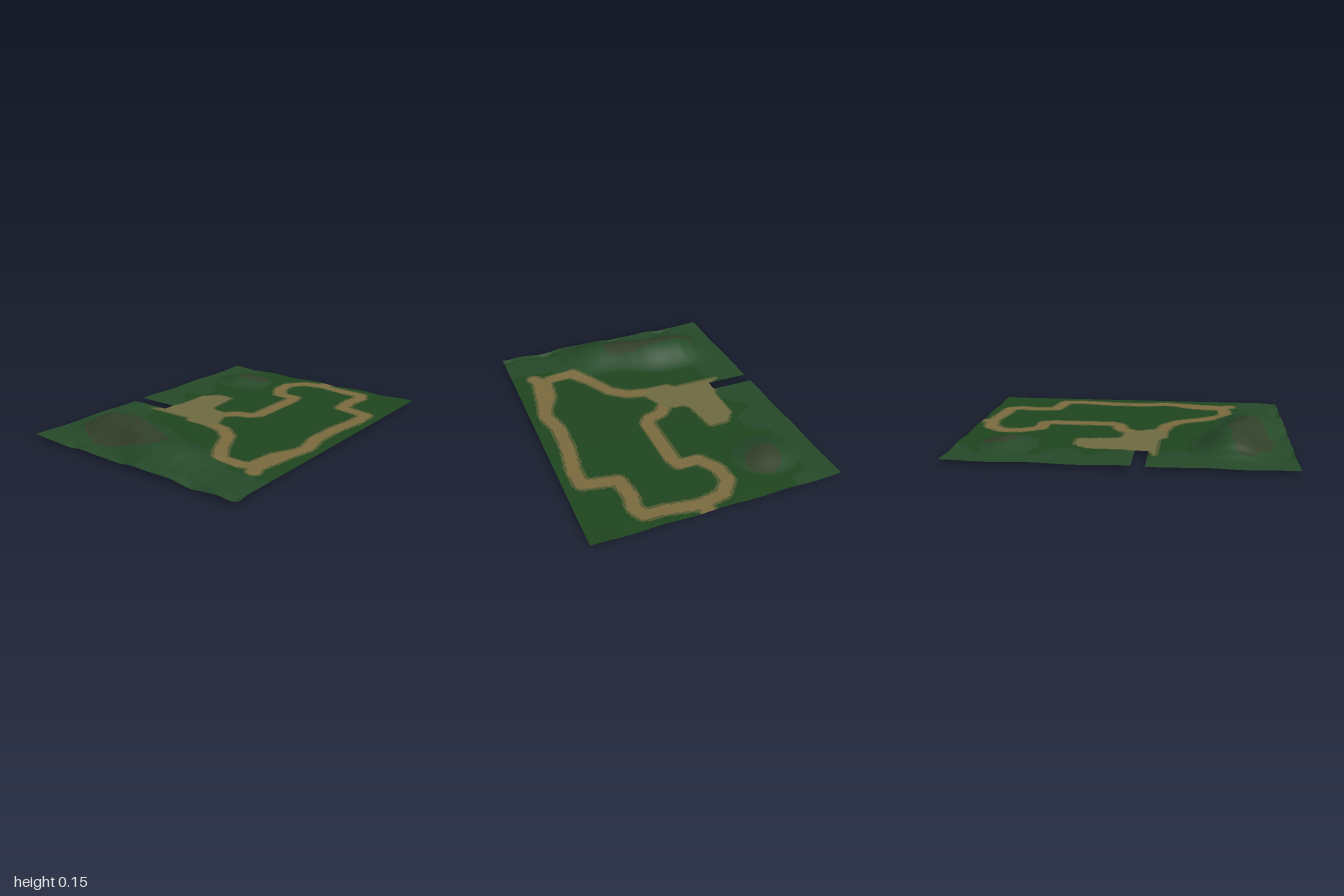
import * as THREE from 'three';
import { mergeVertices } from 'three/addons/utils/BufferGeometryUtils.js';

const COLS = 200, ROWS = 152, DEPTH = 1.52, BASE = 0.028;

// Trail centre lines, as [x, z]
const LOOP = [
  [-0.2, -0.1], [-0.24, 0.08], [-0.32, 0.18], [-0.5, 0.27], [-0.62, 0.36], [-0.62, 0.5],
  [-0.58, 0.6], [-0.35, 0.63], [-0.2, 0.66], [-0.03, 0.62], [0.2, 0.63], [0.4, 0.66],
  [0.53, 0.65], [0.57, 0.45], [0.72, 0.43], [0.82, 0.45], [0.89, 0.42], [0.9, 0.28],
  [0.93, 0.1], [0.9, -0.05], [0.8, -0.13], [0.68, -0.12], [0.57, -0.05], [0.57, 0.07],
  [0.5, 0.09], [0.12, 0.09], [0.07, 0.05], [0.05, -0.03], [-0.03, -0.1],
];
const TRAILS = [
  LOOP,
  [[-0.66, 0.62], [-0.56, 0.56], [-0.4, 0.58], [-0.3, 0.63]],
  [[0.93, 0.08], [1, 0.09]],
];
// Outline of the open dirt yard in front of the notch
const YARD = [
  [-0.2, -0.56], [-0.16, -0.48], [-0.08, -0.48], [-0.03, -0.46], [0.2, -0.46], [0.29, -0.39],
  [0.29, -0.27], [0.05, -0.24], [0.02, -0.2], [0.01, -0.09], [-0.1, -0.05], [-0.17, -0.02],
  [-0.25, -0.06], [-0.25, -0.2], [-0.2, -0.24],
];

// Crest height of the long ridge along z
const CREST = [
  [-0.74, 0], [-0.66, 0.012], [-0.6, 0.042], [-0.52, 0.088], [-0.44, 0.112], [-0.3, 0.118],
  [-0.2, 0.114], [-0.1, 0.098], [0, 0.083], [0.1, 0.084], [0.2, 0.07], [0.3, 0.038],
  [0.4, 0.012], [0.52, 0],
];
// Dips along the left border, as [z, depth, width]
const DIPS = [[0.72, 0.022, 0.05], [0.45, 0.028, 0.09], [-0.05, 0.02, 0.07], [-0.45, 0.024, 0.07]];

const gauss = (d, w) => Math.exp(-(d * d) / (w * w));
const bump = (d) => (Math.abs(d) < 1 ? Math.cos(d * Math.PI / 2) ** 2 : 0);
const smooth = THREE.MathUtils.smoothstep;

function crestHeight(z) {
  for (let i = 1; i < CREST.length; i++) {
    const [z0, h0] = CREST[i - 1], [z1, h1] = CREST[i];
    if (z >= z0 && z <= z1) return h0 + (h1 - h0) * smooth(z, z0, z1) * 0.5 + (h1 - h0) * 0.5 * (z - z0) / (z1 - z0);
  }
  return 0;
}

function hills(x, z) {
  const centre = -0.65 - 0.13 * smooth(z, -0.3, 0.1);
  const ridge = crestHeight(z) * bump((x - centre) / 0.27);
  const knoll = 0.052 * bump(Math.min(1, Math.hypot((x - 0.68) / 0.22, (z + 0.44) / 0.25)));
  return ridge + knoll;
}

function height(x, z) {
  let y = BASE + hills(x, z);
  for (const [dz, depth, w] of DIPS) y -= depth * gauss(x + 0.97, 0.035) * gauss(z - dz, w);
  // gentle unevenness near the side and back borders
  const border = Math.max(smooth(Math.abs(x), 0.9, 1), smooth(-z, 0.6, 0.76) * 0.7);
  return y + border * 0.004 * Math.sin(17 * z + 2) * Math.cos(13 * x) + 0.006 * gauss(x + 0.25, 0.06) * gauss(z + 0.68, 0.06);
}

function distanceToLine(x, z, line) {
  let best = Infinity;
  for (let i = 1; i < line.length; i++) {
    const [ax, az] = line[i - 1], dx = line[i][0] - ax, dz = line[i][1] - az;
    const t = THREE.MathUtils.clamp(((x - ax) * dx + (z - az) * dz) / (dx * dx + dz * dz), 0, 1);
    best = Math.min(best, Math.hypot(x - ax - t * dx, z - az - t * dz));
  }
  return best;
}

function inside(x, z, poly) {
  let hit = false;
  poly.forEach(([ax, az], i) => {
    const [bx, bz] = poly[(i + 1) % poly.length];
    if ((az > z) !== (bz > z) && x < ax + (bx - ax) * (z - az) / (bz - az)) hit = !hit;
  });
  return hit;
}

// Ground covers and their colours
const COVERS = {
  meadow: 0x20461f,
  hillside: 0x264a29,
  rockySlope: 0x32402a,
  trailVerge: 0x505a31,
  dirtTrail: 0x7c6c40,
  dirtYard: 0x706c42,
};

function coverAt(x, z) {
  if (inside(x, z, YARD)) return 'dirtYard';
  const d = Math.min(...TRAILS.map((t) => distanceToLine(x, z, t)));
  if (d < 0.038) return 'dirtTrail';
  if (d < 0.055 || distanceToLine(x, z, [...YARD, YARD[0]]) < 0.015) return 'trailVerge';
  const wobble = 0.12 * Math.sin(19 * x + 3 * z) * Math.sin(14 * z);
  const rock = Math.min(
    Math.hypot((x + 0.75) / 0.13, (z + 0.25) / 0.36),
    Math.hypot((x - 0.73) / 0.11, (z + 0.4) / 0.11),
  );
  if (rock < 1 + wobble) return 'rockySlope';
  if (hills(x, z) > 0.004 || x < -0.72 || z < -0.5 + wobble) return 'hillside';
  return 'meadow';
}

export function createModel() {
  const group = new THREE.Group();
  group.name = 'terrain';

  // Shape the whole ground sheet first so every cover shares its normals
  const sheet = new THREE.PlaneGeometry(2, DEPTH, COLS, ROWS).rotateX(-Math.PI / 2);
  const pos = sheet.attributes.position;
  for (let i = 0; i < pos.count; i++) pos.setY(i, Math.max(0, height(pos.getX(i), pos.getZ(i))));
  sheet.computeVertexNormals();
  sheet.deleteAttribute('uv');

  // Sort the cells by cover, leaving out the notch in the back border
  const cells = Object.fromEntries(Object.keys(COVERS).map((k) => [k, []]));
  const index = sheet.index.array;
  for (let r = 0; r < ROWS; r++) {
    for (let c = 0; c < COLS; c++) {
      const x = -1 + (c + 0.5) * 2 / COLS, z = -DEPTH / 2 + (r + 0.5) * DEPTH / ROWS;
      if (x > -0.16 && x < -0.08 && z < -0.48) continue;
      const start = (r * COLS + c) * 6;
      cells[coverAt(x, z)].push(...index.subarray(start, start + 6));
    }
  }

  // One mesh for each cover
  for (const [name, color] of Object.entries(COVERS)) {
    sheet.setIndex(cells[name]);
    const mesh = new THREE.Mesh(
      mergeVertices(sheet.toNonIndexed()),
      new THREE.MeshStandardMaterial({ color, side: THREE.DoubleSide }),
    );
    mesh.name = name;
    group.add(mesh);
  }
  return group;
}
